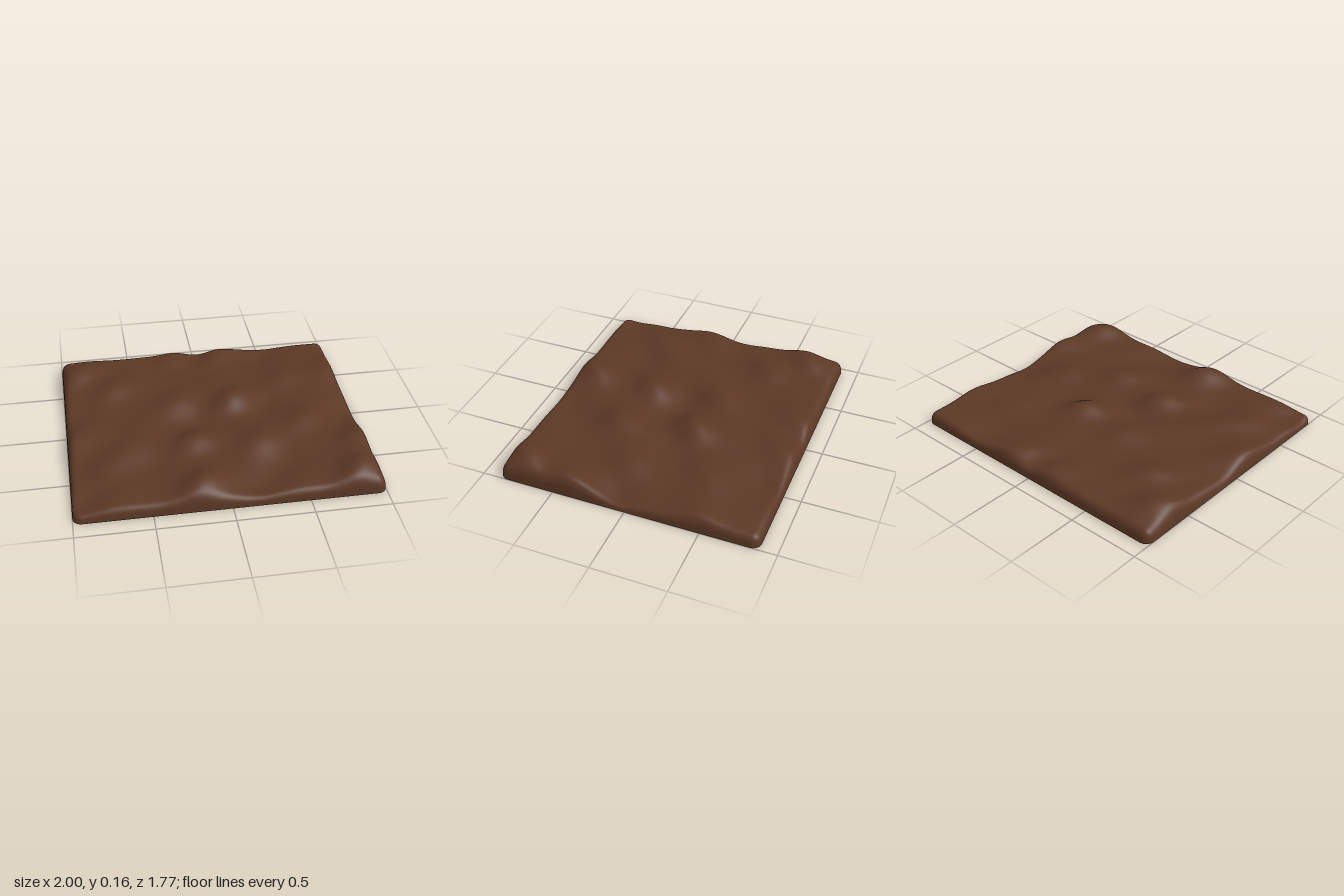
import * as THREE from 'three';

const HALF_X = 1, HALF_Z = 0.885, CORNER = 0.06, RIM = 0.11, BASE = 0.08;

// Mounds and hollows: x, z, height change
const BUMPS = [
  // front strip
  [-0.17, 0.74, 0.08], [0.85, 0.74, 0.08], [0.5, 0.72, 0.01], [-0.65, 0.7, 0.01],
  [-0.93, 0.75, -0.04], [0.2, 0.78, -0.025], [0.38, 0.6, -0.02],
  // right side
  [0.95, 0.4, 0.055], [0.95, 0.05, -0.042], [0.92, -0.48, 0.03], [0.97, -0.18, -0.012],
  // left side
  [-0.87, -0.64, 0.065], [-0.92, 0.13, 0.035], [-0.95, 0.5, -0.02], [-0.72, 0.43, 0.035],
  [-0.64, -0.42, 0.055], [-0.55, 0.25, 0.025], [-0.97, -0.12, -0.02],
  // middle
  [-0.15, 0.27, 0.07], [0.27, 0.34, 0.055], [0.17, -0.15, 0.08], [-0.22, -0.2, 0.045],
  [0.62, 0.12, 0.045], [0.6, -0.4, 0.035], [0.04, 0.07, -0.025], [-0.12, 0.03, -0.03],
  [-0.45, 0.5, -0.02], [-0.45, 0, 0.015], [0.42, -0.12, -0.02], [0.1, -0.4, 0.02],
  // back strip
  [0.14, -0.77, 0.045], [-0.15, -0.77, 0.045], [0, -0.8, -0.04], [0.5, -0.75, -0.03],
  [-0.45, -0.7, 0.01],
];

// Each bump is a soft mound stretched along the diagonal
function soilHeight(x, z) {
  let h = BASE;
  for (const [bx, bz, amount] of BUMPS) {
    const across = (x - bx + z - bz) * Math.SQRT1_2;
    const along = (x - bx - z + bz) * Math.SQRT1_2;
    h += amount * Math.exp(-((across / 0.125) ** 2) - (along / 0.18) ** 2);
  }
  return Math.max(h, 0.03);
}

// Packs grid lines more tightly towards the rim
const spread = (t) => t * (1.35 - 0.35 * t * t);

export function createModel() {
  const soil = new THREE.MeshStandardMaterial({ color: 0x5c3825, side: THREE.DoubleSide });
  soil.name = 'brown soil';

  const geometry = new THREE.PlaneGeometry(2, 2, 120, 110);
  geometry.rotateX(-Math.PI / 2);
  const position = geometry.attributes.position;
  for (let i = 0; i < position.count; i++) {
    let x = spread(position.getX(i)) * HALF_X;
    let z = spread(position.getZ(i)) * HALF_Z;
    // Roll the surface down to the ground along the rim
    const edge = Math.min(HALF_X - Math.abs(x), HALF_Z - Math.abs(z));
    const k = Math.max(0, 1 - edge / RIM);
    const y = k > 0.9999 ? 0 : soilHeight(x, z) * Math.sqrt(1 - k ** 5);
    // Round the corners in plan
    const cx = THREE.MathUtils.clamp(x, CORNER - HALF_X, HALF_X - CORNER);
    const cz = THREE.MathUtils.clamp(z, CORNER - HALF_Z, HALF_Z - CORNER);
    const dx = x - cx, dz = z - cz;
    const shrink = Math.max(Math.abs(dx), Math.abs(dz)) / (Math.hypot(dx, dz) || 1);
    x = cx + dx * shrink;
    z = cz + dz * shrink;
    position.setXYZ(i, x, y, z);
  }
  geometry.computeVertexNormals();

  const mound = new THREE.Mesh(geometry, soil);
  mound.name = 'soilPatch';
  const group = new THREE.Group();
  group.name = 'soilTile';
  group.add(mound);
  return group;
}
